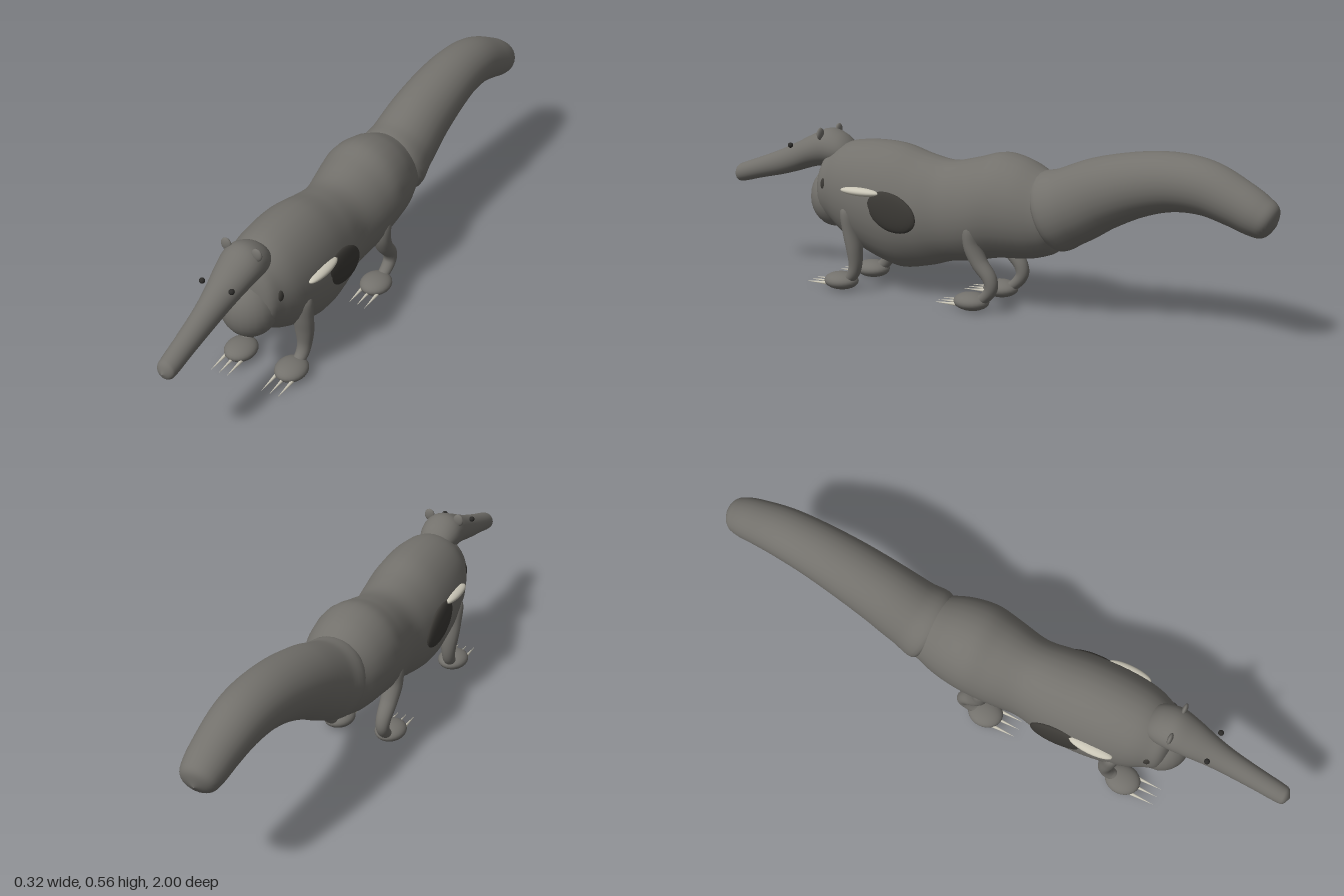
import * as THREE from 'three';

const mat = (name, color) => Object.assign(new THREE.MeshStandardMaterial({ color }), { name });

// Smooth closed skin over stations [x, y, z, halfWidth, halfHeight].
// upright keeps the rings vertical; otherwise they turn with the path.
function loft(stations, upright = false, steps = 6, sides = 28) {
  const path = new THREE.CatmullRomCurve3(
    stations.map(s => new THREE.Vector3(s[0], s[1], s[2])), false, 'catmullrom', 0.5);
  const size = new THREE.CatmullRomCurve3(
    stations.map(s => new THREE.Vector3(s[3], s[4], 0)), false, 'catmullrom', 0.5);
  const rings = (stations.length - 1) * steps;
  const pos = [], index = [];
  const side = new THREE.Vector3(1, 0, 0);
  for (let i = 0; i <= rings; i++) {
    const t = i / rings, c = path.getPoint(t), r = size.getPoint(t);
    const dir = upright ? new THREE.Vector3(0, 0, 1) : path.getTangent(t);
    const up = dir.cross(side).normalize();
    for (let j = 0; j < sides; j++) {
      const a = j / sides * Math.PI * 2;
      const p = c.clone()
        .addScaledVector(side, Math.cos(a) * Math.max(r.x, 0.0005))
        .addScaledVector(up, Math.sin(a) * Math.max(r.y, 0.0005));
      pos.push(p.x, p.y, p.z);
      if (i < rings) {
        const k = (j + 1) % sides, a0 = i * sides, b0 = a0 + sides;
        index.push(a0 + j, a0 + k, b0 + k, a0 + j, b0 + k, b0 + j);
      }
    }
  }
  const g = new THREE.BufferGeometry();
  g.setAttribute('position', new THREE.Float32BufferAttribute(pos, 3));
  g.setIndex(index);
  g.computeVertexNormals();
  return g;
}

export function createModel() {
  const root = new THREE.Group();
  root.name = 'anteater';
  const fur = mat('grey fur', 0x73716c);
  const dark = mat('dark patch', 0x3b3935);
  const pale = mat('pale stripe', 0xc9c5b6);
  const eyeMat = mat('eye black', 0x2c2b29);

  const add = (name, geometry, material, parent = root) => {
    const m = new THREE.Mesh(geometry, material);
    m.name = name;
    parent.add(m);
    return m;
  };
  const blob = (name, material, [x, y, z], [rx, ry, rz], parent = root) => {
    const m = add(name, new THREE.SphereGeometry(1, 24, 16), material, parent);
    m.position.set(x, y, z);
    m.scale.set(rx, ry, rz);
    return m;
  };

  // Torso, from rump to shoulders
  add('body', loft([
    [0, 0.325, -0.3, 0.01, 0.01],
    [0, 0.325, -0.28, 0.09, 0.105],
    [0, 0.323, -0.22, 0.118, 0.138],
    [0, 0.333, -0.15, 0.138, 0.16],
    [0, 0.335, -0.07, 0.147, 0.17],
    [0, 0.315, 0.01, 0.14, 0.169],
    [0, 0.296, 0.11, 0.126, 0.166],
    [0, 0.288, 0.2, 0.138, 0.185],
    [0, 0.293, 0.3, 0.147, 0.205],
    [0, 0.309, 0.4, 0.145, 0.194],
    [0, 0.325, 0.49, 0.132, 0.168],
    [0, 0.332, 0.55, 0.11, 0.136],
    [0, 0.33, 0.595, 0.086, 0.105],
    [0, 0.33, 0.62, 0.01, 0.01],
  ], true), fur);
  blob('chest', fur, [0, 0.295, 0.575], [0.092, 0.103, 0.086]);

  // Head tapering into the long snout
  add('head', loft([
    [0, 0.445, 0.5, 0.005, 0.005],
    [0, 0.448, 0.515, 0.044, 0.035],
    [0, 0.455, 0.55, 0.063, 0.056],
    [0, 0.46, 0.6, 0.068, 0.063],
    [0, 0.443, 0.66, 0.06, 0.056],
    [0, 0.415, 0.73, 0.047, 0.05],
    [0, 0.389, 0.8, 0.039, 0.044],
    [0, 0.361, 0.89, 0.034, 0.037],
    [0, 0.338, 0.965, 0.031, 0.033],
    [0, 0.333, 0.988, 0.025, 0.026],
    [0, 0.33, 1, 0.001, 0.001],
  ], true), fur);

  // Thick arched tail, drifting slightly to its left
  add('tail', loft([
    [0, 0.325, -0.225, 0.01, 0.01],
    [0, 0.33, -0.24, 0.114, 0.122],
    [0.002, 0.362, -0.32, 0.112, 0.122],
    [0.005, 0.411, -0.42, 0.105, 0.113],
    [0.01, 0.452, -0.54, 0.098, 0.1],
    [0.015, 0.474, -0.66, 0.09, 0.09],
    [0.021, 0.469, -0.77, 0.083, 0.083],
    [0.028, 0.436, -0.87, 0.074, 0.073],
    [0.032, 0.405, -0.94, 0.066, 0.064],
    [0.033, 0.389, -0.978, 0.05, 0.048],
    [0.033, 0.382, -0.995, 0.001, 0.001],
  ]), fur);

  // Leg with foot and three claws; the path is [z, y, halfWidth, halfDepth]
  function leg(name, s, path, footZ) {
    const g = new THREE.Group();
    g.name = name;
    root.add(g);
    add('limb', loft(path.map(([x, z, y, w, d]) => [s * x, y, z, w, d]), false, 5, 18), fur, g);
    blob('foot', fur, [s * 0.093, 0.032, footZ], [0.051, 0.029, 0.06], g);
    for (const dx of [-0.029, 0, 0.029]) {
      const claw = add('claw', new THREE.ConeGeometry(0.006, 0.085, 10), pale, g);
      claw.rotation.x = Math.PI / 2 + 0.04;
      claw.position.set(s * 0.093 + dx, 0.022, footZ + 0.083);
    }
  }

  for (const s of [1, -1]) {
    const label = s > 0 ? 'left' : 'right';
    leg(label + 'FrontLeg', s, [
      [0.105, 0.455, 0.31, 0.002, 0.002],
      [0.106, 0.453, 0.28, 0.034, 0.026],
      [0.104, 0.445, 0.21, 0.035, 0.027],
      [0.102, 0.435, 0.15, 0.032, 0.026],
      [0.101, 0.434, 0.095, 0.024, 0.022],
      [0.099, 0.448, 0.058, 0.021, 0.02],
      [0.095, 0.48, 0.035, 0.018, 0.016],
    ], 0.497);
    leg(label + 'HindLeg', s, [
      [0.1, -0.015, 0.31, 0.002, 0.002],
      [0.104, -0.016, 0.28, 0.032, 0.026],
      [0.104, -0.018, 0.22, 0.033, 0.028],
      [0.102, -0.042, 0.165, 0.029, 0.026],
      [0.101, -0.078, 0.12, 0.025, 0.023],
      [0.1, -0.084, 0.083, 0.022, 0.021],
      [0.097, -0.058, 0.05, 0.02, 0.018],
      [0.094, -0.025, 0.034, 0.017, 0.015],
    ], -0.008);

    // Ears and eyes
    blob(label + 'Ear', fur, [s * 0.053, 0.51, 0.6], [0.018, 0.021, 0.008]);
    blob(label + 'Eye', eyeMat, [s * 0.051, 0.46, 0.727], [0.009, 0.009, 0.009]);

    // Flank markings
    const patch = blob(label + 'FlankPatch', dark, [s * 0.137, 0.297, 0.27], [0.018, 0.062, 0.098]);
    patch.rotation.x = -0.3;
    blob(label + 'ShoulderStripe', pale, [s * 0.14, 0.353, 0.385], [0.021, 0.014, 0.075]);
    blob(label + 'NeckMark', dark, [s * 0.097, 0.352, 0.555], [0.012, 0.023, 0.015]);
  }
  return root;
}
